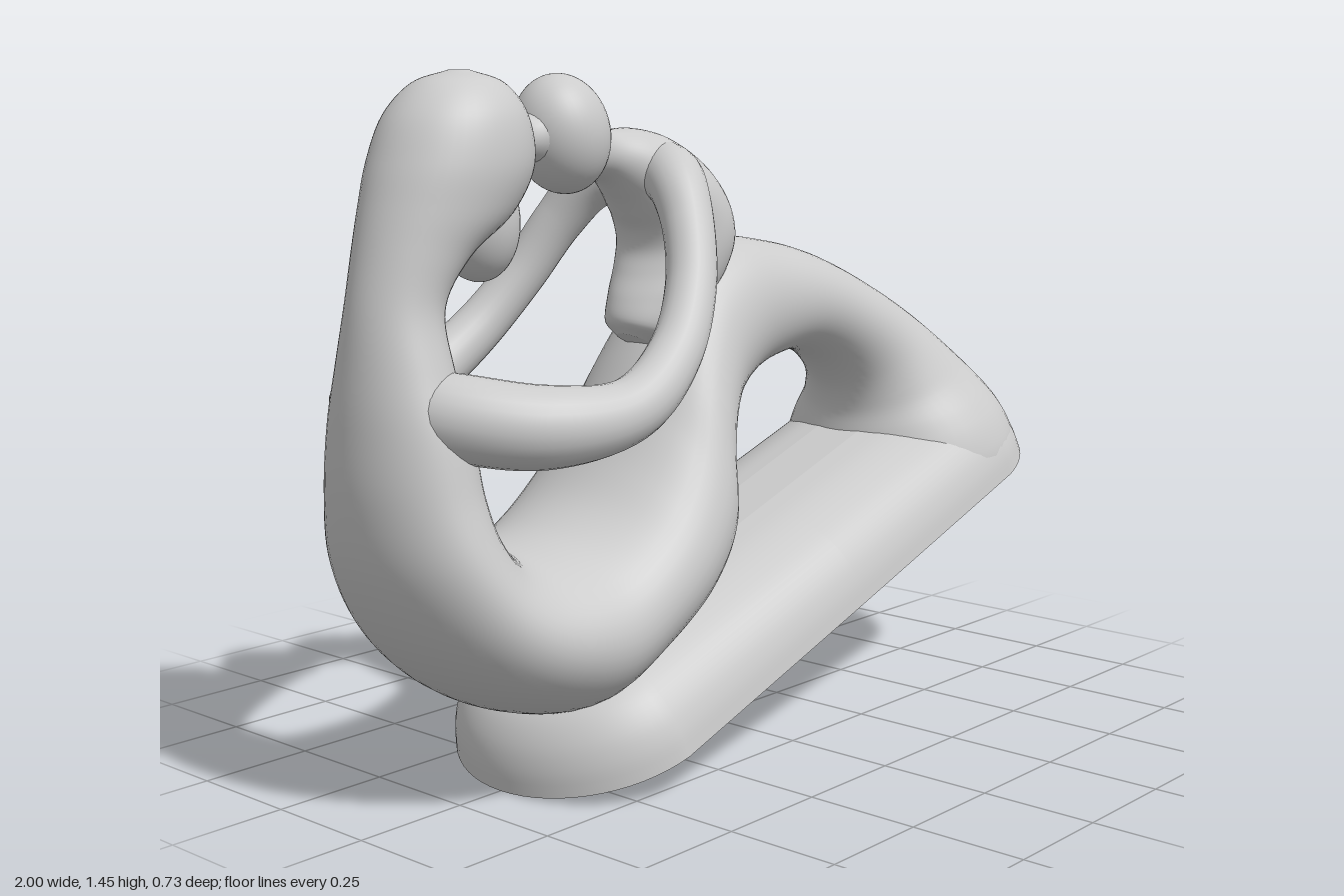
import * as THREE from 'three';

const material = new THREE.MeshStandardMaterial({ color: 0xcccccc });
const V = (x, y, z) => new THREE.Vector3(x, y, z);

// Closed skin over a row of equal rings, with flat caps at both ends
function skin(rings) {
  const segs = rings[0].length;
  const first = rings[0], last = rings[rings.length - 1];
  const middle = (ring) => {
    const c = ring.reduce((sum, p) => sum.add(p), V(0, 0, 0)).divideScalar(segs);
    return ring.map(() => c);
  };
  const pos = [], index = [];
  for (const group of [[middle(first), first], rings, [last, middle(last)]]) {
    const start = pos.length / 3;
    group.forEach((ring) => ring.forEach((p) => pos.push(p.x, p.y, p.z)));
    for (let i = 0; i < group.length - 1; i++) {
      for (let j = 0; j < segs; j++) {
        const a = start + i * segs + j, b = start + i * segs + ((j + 1) % segs);
        index.push(a, b, a + segs, b, b + segs, a + segs);
      }
    }
  }
  const geo = new THREE.BufferGeometry();
  geo.setAttribute('position', new THREE.Float32BufferAttribute(pos, 3));
  geo.setIndex(index);
  geo.computeVertexNormals();
  return geo;
}

function ellipse(c, N, B, segs) {
  return Array.from({ length: segs }, (_, j) => {
    const a = (j / segs) * Math.PI * 2;
    return c.clone().addScaledVector(N, Math.cos(a)).addScaledVector(B, Math.sin(a));
  });
}

// Loft between two silhouette edges: stations [right x, right y, left x, left y, half depth],
// right and left as seen when travelling along the part
function between(stations, segs = 48, steps = 6) {
  const right = new THREE.CatmullRomCurve3(stations.map((s) => V(s[0], s[1], s[4])));
  const left = new THREE.CatmullRomCurve3(stations.map((s) => V(s[2], s[3], s[4])));
  const count = (stations.length - 1) * steps;
  const rings = [];
  for (let i = 0; i <= count; i++) {
    const r = right.getPoint(i / count), l = left.getPoint(i / count);
    const depth = r.z;
    r.z = l.z = 0;
    const N = l.clone().sub(r).multiplyScalar(0.5);
    rings.push(ellipse(r.add(N), N, V(0, 0, depth), segs));
  }
  return skin(rings);
}

// Round limb along a curve: stations [x, y, z, radius]
function limb(stations, segs = 24, steps = 8) {
  const path = new THREE.CatmullRomCurve3(stations.map((s) => V(s[0], s[1], s[2])));
  const radii = new THREE.CatmullRomCurve3(stations.map((s, i) => V(i * 0.1, s[3], 0)));
  const count = (stations.length - 1) * steps;
  const B = V(0, 1, 0);
  const rings = [];
  for (let i = 0; i <= count; i++) {
    const T = path.getTangent(i / count);
    const radius = radii.getPoint(i / count).y;
    B.addScaledVector(T, -B.dot(T)).normalize();
    const N = B.clone().cross(T).multiplyScalar(radius);
    rings.push(ellipse(path.getPoint(i / count), N, B.clone().multiplyScalar(radius), segs));
  }
  return skin(rings);
}

// Stadium slab with a crowned top, sheared onto its slope
function slab() {
  const profile = new THREE.CatmullRomCurve3([
    [0, 0], [0.05, 0.01], [0.095, 0.03], [0.135, 0.065], [0.165, 0.12], [0.185, 0.18], [0.195, 0.25],
  ].map(([h, inset]) => V(inset, h, 0)));
  const rings = profile.getPoints(24).map(({ x: inset, y: h }) =>
    ellipse(V(0, 0, 0), V(0, 0, 0.31 - inset), V(0.26 - inset, 0, 0), 64).map((p) => {
      const x = 0.18 + p.x + Math.sign(p.x) * 0.56;
      return V(x - 0.3 * h, h + 0.35 * (x + 0.64), p.z);
    }));
  return skin(rings);
}

export function createModel() {
  const model = new THREE.Group();
  model.name = 'sculpture';
  const add = (name, geo) => {
    const mesh = new THREE.Mesh(geo, material);
    mesh.name = name;
    model.add(mesh);
    return mesh;
  };
  const ball = (name, [x, y, z], [rx, ry, rz], tilt) => {
    const mesh = add(name, new THREE.SphereGeometry(1, 40, 28));
    mesh.position.set(x, y, z);
    mesh.scale.set(rx, ry, rz);
    mesh.rotation.z = tilt;
  };

  add('base', slab());

  // Parent: head and hair, down the back, through the hips, over the knees to the feet
  add('body', between([
    [-0.735, 1.45, -0.695, 1.45, 0.02],
    [-0.81, 1.425, -0.625, 1.425, 0.085],
    [-0.87, 1.365, -0.58, 1.365, 0.13],
    [-0.91, 1.28, -0.568, 1.27, 0.145],
    [-0.935, 1.2, -0.62, 1.18, 0.133],
    [-0.957, 1.11, -0.73, 1.1, 0.11],
    [-0.977, 1.01, -0.795, 1.01, 0.1],
    [-0.99, 0.9, -0.79, 0.9, 0.125],
    [-0.998, 0.79, -0.765, 0.78, 0.16],
    [-0.998, 0.65, -0.752, 0.66, 0.185],
    [-0.972, 0.5, -0.735, 0.585, 0.215],
    [-0.9, 0.355, -0.7, 0.535, 0.24],
    [-0.8, 0.25, -0.65, 0.512, 0.26],
    [-0.68, 0.185, -0.59, 0.512, 0.272],
    [-0.52, 0.155, -0.51, 0.53, 0.28],
    [-0.36, 0.22, -0.43, 0.575, 0.28],
    [-0.2, 0.31, -0.36, 0.65, 0.27],
    [-0.1, 0.41, -0.295, 0.75, 0.245],
    [-0.08, 0.53, -0.235, 0.86, 0.21],
    [-0.045, 0.63, -0.18, 0.95, 0.178],
    [0.005, 0.71, -0.1, 1.04, 0.152],
    [0.085, 0.775, 0.02, 1.092, 0.137],
    [0.18, 0.81, 0.17, 1.08, 0.127],
    [0.28, 0.82, 0.32, 1.045, 0.127],
    [0.38, 0.785, 0.5, 0.975, 0.132],
    [0.45, 0.72, 0.68, 0.885, 0.15],
    [0.475, 0.655, 0.82, 0.79, 0.195],
    [0.47, 0.59, 0.92, 0.7, 0.255],
    [0.46, 0.5, 0.97, 0.635, 0.29],
    [0.47, 0.42, 0.99, 0.585, 0.3],
  ]));
  ball('parentFace', [-0.682, 1.17, 0], [0.088, 0.128, 0.088], 0.15);

  // Child: head leaning on the parent's brow, back, and tucked legs
  ball('childHead', [-0.445, 1.325, 0], [0.1, 0.122, 0.1], 0.25);
  add('foreheadBridge', between([
    [-0.64, 1.25, -0.64, 1.41, 0.08],
    [-0.56, 1.275, -0.56, 1.363, 0.045],
    [-0.48, 1.25, -0.48, 1.41, 0.08],
  ], 24, 8));
  add('childBody', between([
    [-0.43, 1.23, -0.42, 1.37, 0.065],
    [-0.34, 1.23, -0.325, 1.335, 0.06],
    [-0.285, 1.19, -0.25, 1.335, 0.085],
    [-0.25, 1.15, -0.165, 1.318, 0.11],
    [-0.225, 1.115, -0.07, 1.262, 0.13],
    [-0.22, 1.075, 0, 1.18, 0.135],
    [-0.24, 1.03, 0.022, 1.1, 0.13],
    [-0.27, 0.98, -0.03, 0.99, 0.11],
    [-0.285, 0.935, -0.15, 0.89, 0.08],
    [-0.27, 0.905, -0.2, 0.87, 0.04],
  ]));

  // Arms: each runs from the parent's shoulder round to the child's shoulder
  for (const s of [1, -1]) {
    add(s > 0 ? 'frontArm' : 'backArm', limb([
      [-0.89, 0.83, 0, 0.07],
      [-0.845, 0.81, 0.12, 0.083],
      [-0.73, 0.79, 0.24, 0.08],
      [-0.57, 0.81, 0.302, 0.063],
      [-0.43, 0.9, 0.29, 0.055],
      [-0.33, 1.02, 0.245, 0.052],
      [-0.27, 1.14, 0.185, 0.054],
      [-0.23, 1.225, 0.115, 0.062],
      [-0.18, 1.245, 0.02, 0.07],
    ].map(([x, y, z, r]) => [x, y, z * s, r])));
  }
  return model;
}
